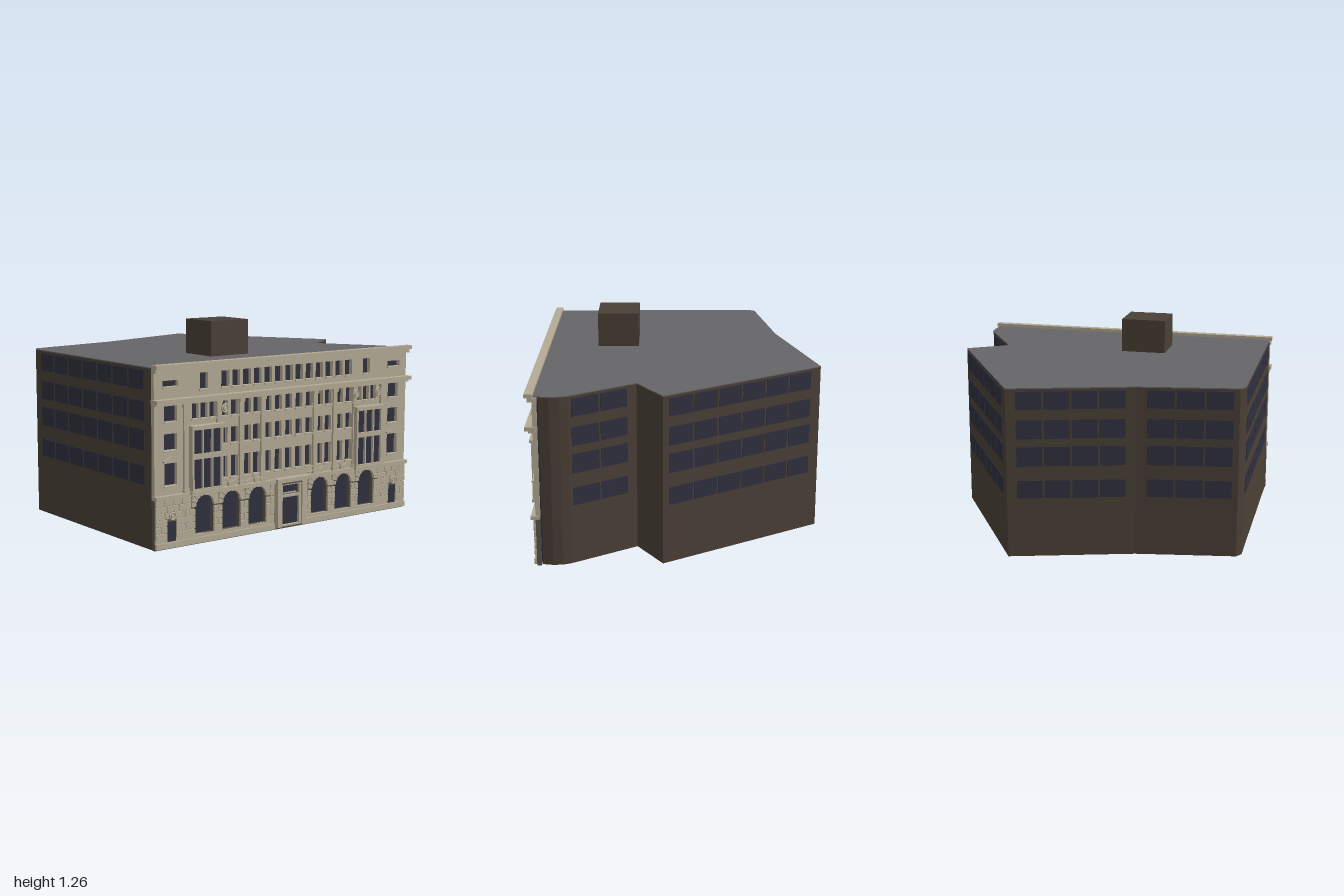
import * as THREE from 'three';

const material = (name, color) => {
  const m = new THREE.MeshStandardMaterial({ color });
  m.name = name;
  return m;
};

export function createModel() {
  const stone = material('stone', 0xb4ab95);
  const mortar = material('mortar', 0x5a5448);
  const brown = material('brown wall', 0x4a4036);
  const grey = material('roof grey', 0x656567);
  const glass = material('window glass', 0x2f303e);

  const model = new THREE.Group();
  model.name = 'building';

  const add = (parent, name, geometry, mat, x = 0, y = 0, z = 0) => {
    const mesh = new THREE.Mesh(geometry, mat);
    mesh.name = name;
    mesh.position.set(x, y, z);
    parent.add(mesh);
    return mesh;
  };
  const polygon = (pts) => new THREE.Shape(pts.map(([x, y]) => new THREE.Vector2(x, y)));
  const rect = (x0, x1, y0, y1) => polygon([[x0, y0], [x1, y0], [x1, y1], [x0, y1]]);
  const extrude = (shape, depth) =>
    new THREE.ExtrudeGeometry(shape, { depth, bevelEnabled: false, curveSegments: 16 });
  // Horizontal slab with a floor plan given as x, z points
  const slab = (pts, height) =>
    extrude(polygon(pts.map(([x, z]) => [x, -z])), height).rotateX(-Math.PI / 2);

  // Main body on its irregular plan
  const plan = [
    [-0.98, 0.69], [-0.91, -0.63], [-0.88, -0.67], [-0.27, -0.73], [0.48, -0.9],
    [0.99, 0.1], [0.74, 0.24], [0.95, 0.64], [0.965, 0.69], [0.967, 0.75], [0.95, 0.843],
  ];
  const bodyPlan = plan.map(([x, z], i) =>
    [x, i === 0 || i === plan.length - 1 ? z - 0.03 : z]);
  add(model, 'body', slab(bodyPlan, 1.045), brown);
  add(model, 'roof', slab(plan, 0.006), grey, 0, 1.045, 0);

  // Rooftop plant room
  add(model, 'roofHut', new THREE.BoxGeometry(0.285, 0.22, 0.26), brown, -0.19, 1.155, 0.31)
    .rotation.y = -0.07;

  // Strips of panes on the side and rear walls
  const floors = [[0.37, 0.48], [0.57, 0.69], [0.74, 0.855], [0.92, 1.03]];
  const paneStrip = (a, b, from, to, count) => {
    const dx = b[0] - a[0], dz = b[1] - a[1], len = Math.hypot(dx, dz);
    const pitch = (to - from) / count;
    for (const [y0, y1] of floors) {
      for (let i = 0; i < count; i++) {
        const t = from + (i + 0.5) * pitch;
        const pane = add(model, 'sideWindow',
          new THREE.BoxGeometry(pitch * len - 0.012, y1 - y0, 0.006), glass,
          a[0] + dx * t + (dz / len) * 0.001, (y0 + y1) / 2, a[1] + dz * t - (dx / len) * 0.001);
        pane.rotation.y = Math.atan2(-dz, dx);
      }
    }
  };
  paneStrip(plan[0], plan[1], 0.07, 0.95, 7);
  paneStrip(plan[2], plan[3], 0.05, 0.9, 3);
  paneStrip(plan[3], plan[4], 0.07, 0.93, 4);
  paneStrip(plan[4], plan[5], 0.06, 0.965, 6);
  paneStrip(plan[6], plan[7], 0.13, 0.97, 2);

  // Street facade, slightly turned; z = 0 is its wall plane
  const facade = new THREE.Group();
  facade.name = 'facade';
  facade.position.set(-0.01, 0, 0.769);
  facade.rotation.y = -0.0788;
  model.add(facade);
  const HALF = 0.978;
  const box = (name, x0, x1, y0, y1, z0, z1, mat = stone) =>
    add(facade, name, new THREE.BoxGeometry(x1 - x0, y1 - y0, z1 - z0), mat,
      (x0 + x1) / 2, (y0 + y1) / 2, (z0 + z1) / 2);
  const mirrored = (list) => list.flatMap((x) => (x ? [-x, x] : [0]));

  // Upper wall with window openings
  const upper = rect(-HALF, HALF, 0.295, 1.044);
  const opening = (x, half, y0, y1) => {
    upper.holes.push(rect(x - half, x + half, y0, y1));
    box('windowSill', x - half - 0.005, x + half + 0.005, y0 - 0.01, y0, 0, 0.01);
  };
  const storeys = [[0.37, 0.5], [0.575, 0.67], [0.74, 0.83]];
  for (const [y0, y1] of storeys) {
    for (const x of mirrored([0, 0.08, 0.16, 0.246, 0.316, 0.412, 0.487])) opening(x, 0.026, y0, y1);
    for (const x of mirrored([0.866])) opening(x, 0.044, y0, y1);
  }
  for (const x of mirrored([0.57, 0.632, 0.694])) opening(x, 0.024, 0.74, 0.83);
  for (const x of mirrored([0, 0.08, 0.16, 0.24, 0.32, 0.4, 0.48, 0.632])) opening(x, 0.029, 0.91, 1.005);
  for (const x of mirrored([0.866])) opening(x, 0.053, 0.94, 0.975);
  add(facade, 'upperWall', extrude(upper, 0.028), stone, 0, 0, -0.028);
  box('facadeGlass', -HALF + 0.01, HALF - 0.01, 0.02, 1.04, -0.036, -0.026, glass);

  // Ground floor wall with arches and small windows
  const arches = mirrored([0.245, 0.44, 0.635]);
  const R = 0.066, SPRING = 0.225;
  const ground = rect(-HALF, HALF, 0, 0.295);
  for (const x of arches) {
    const hole = new THREE.Path();
    hole.moveTo(x - R, 0.06);
    hole.lineTo(x + R, 0.06);
    hole.lineTo(x + R, SPRING);
    hole.absarc(x, SPRING, R, 0, Math.PI, false);
    hole.lineTo(x - R, 0.06);
    ground.holes.push(hole);
  }
  for (const x of mirrored([0.866])) ground.holes.push(rect(x - 0.03, x + 0.03, 0.045, 0.16));
  add(facade, 'groundWall', extrude(ground, 0.028), mortar, 0, 0, -0.028);

  // Rusticated blocks, filling the spaces between openings row by row
  const rowHeight = 0.0392;
  for (let row = 0; row < 6; row++) {
    const y0 = 0.06 + row * rowHeight, y1 = y0 + rowHeight, mid = (y0 + y1) / 2;
    const blocked = [[-0.115, 0.115], ...arches.map((x) => {
      const half = mid > 0.21 ? 0.098 : R + 0.001;
      return [x - half, x + half];
    })];
    if (mid < 0.17) for (const x of mirrored([0.866])) blocked.push([x - 0.031, x + 0.031]);
    blocked.sort((a, b) => a[0] - b[0]);
    blocked.push([HALF, HALF]);
    let start = -HALF;
    for (const [stop, next] of blocked) {
      const width = stop - start;
      if (width > 0.015) {
        const count = Math.max(1, Math.round(width / 0.09) + (row % 2));
        const step = width / count;
        for (let i = 0; i < count; i++) {
          box('stoneBlock', start + i * step + 0.002, start + (i + 1) * step - 0.002,
            y0 + 0.002, y1 - 0.003, -0.004, 0.013);
        }
      }
      start = next;
    }
  }

  // Wedge stones around each arch
  const wedges = 9;
  for (const x of arches) {
    for (let i = 0; i < wedges; i++) {
      const a0 = (i / wedges) * Math.PI + 0.02, a1 = ((i + 1) / wedges) * Math.PI - 0.02;
      const outer = (a) => Math.min(0.112, 0.0965 / Math.abs(Math.cos(a)), 0.071 / Math.sin(a));
      const at = (r, a) => [r * Math.cos(a), r * Math.sin(a)];
      const wedge = polygon([at(R, a0), at(outer(a0), a0), at(outer(a1), a1), at(R, a1)]);
      add(facade, 'archStone', extrude(wedge, i === 4 ? 0.03 : 0.02), stone, x, SPRING, -0.003);
    }
  }
  // Carved crests over the inner arches
  for (const x of mirrored([0.245, 0.44])) {
    add(facade, 'archCrest', extrude(polygon([[-0.02, 0], [0.02, 0], [0.03, 0.035], [0, 0.025], [-0.03, 0.035]]), 0.015),
      stone, x, 0.318, 0);
    for (const s of [-1, 1]) {
      add(facade, 'crestScroll', new THREE.BoxGeometry(0.06, 0.008, 0.014), stone, x + s * 0.06, 0.335, 0.007)
        .rotation.z = -s * 0.3;
    }
  }

  // Plinth, string course and cornices
  for (const s of [-1, 1]) {
    const ends = [s * 0.11, s * HALF].sort((a, b) => a - b);
    box('plinth', ends[0], ends[1], 0.008, 0.042, -0.01, 0.017);
    box('plinthTop', ends[0], ends[1], 0.042, 0.06, -0.01, 0.006)
      .visible = true;
  }
  for (const x of mirrored([0.866])) box('lowWindowPane', x - 0.03, x + 0.03, 0.045, 0.16, 0, 0.009, glass);
  box('stringCourse', -HALF - 0.005, HALF + 0.005, 0.295, 0.318, -0.02, 0.028);
  box('mainCornice', -0.988, 0.988, 0.848, 0.872, -0.02, 0.045);
  box('mainCorniceBed', -0.982, 0.982, 0.835, 0.848, -0.02, 0.025);
  box('topCorniceBed', -0.982, 0.982, 1.022, 1.046, -0.02, 0.026);
  box('topCornice', -0.988, 0.988, 1.046, 1.07, -0.005, 0.043);

  // Pilasters between the window groups
  for (const x of mirrored([0.205, 0.365, 0.53, 0.765])) {
    box('pilaster', x - 0.016, x + 0.016, 0.318, 0.835, 0, 0.014);
    box('pilasterCap', x - 0.02, x + 0.02, 0.815, 0.835, 0, 0.02);
    box('pilasterBase', x - 0.02, x + 0.02, 0.318, 0.34, 0, 0.02);
  }

  // Projecting bay windows
  for (const x of mirrored([0.632])) {
    const bay = rect(-0.11, 0.11, 0.318, 0.69);
    for (const c of [-0.067, 0, 0.067]) {
      bay.holes.push(rect(c - 0.029, c + 0.029, 0.335, 0.51));
      bay.holes.push(rect(c - 0.029, c + 0.029, 0.54, 0.68));
    }
    add(facade, 'bayFrame', extrude(bay, 0.042), stone, x, 0, 0);
    box('bayGlass', x - 0.105, x + 0.105, 0.325, 0.685, 0.018, 0.026, glass);
    box('bayCornice', x - 0.117, x + 0.117, 0.69, 0.706, 0, 0.052);
    box('bayBase', x - 0.115, x + 0.115, 0.305, 0.325, 0, 0.047);
  }

  // Pediments over the first-floor end windows
  for (const x of mirrored([0.866])) {
    add(facade, 'pediment', extrude(polygon([[-0.055, 0], [0.055, 0], [0, 0.028]]), 0.018), stone, x, 0.515, 0);
    box('pedimentLedge', x - 0.058, x + 0.058, 0.508, 0.516, 0, 0.022);
  }

  // Round carved medallions
  const medallion = (x, y, r, z) => {
    add(facade, 'medallionRing', new THREE.TorusGeometry(r, 0.006, 6, 16), stone, x, y, z);
    add(facade, 'medallionBoss', new THREE.CylinderGeometry(r * 0.6, r * 0.8, 0.014, 12).rotateX(Math.PI / 2),
      stone, x, y, z);
  };
  for (const x of [-0.495, 0.53, 0.718]) medallion(x, 0.788, 0.023, 0.02);
  for (const x of mirrored([0.866])) medallion(x, 0.195, 0.02, 0.02);

  // Entrance surround and door
  const surround = rect(-0.09, 0.09, 0.02, 0.295);
  surround.holes.push(rect(-0.065, 0.065, 0.03, 0.2), rect(-0.065, 0.065, 0.215, 0.275));
  add(facade, 'doorSurround', extrude(surround, 0.03), stone);
  box('doorGlass', -0.075, 0.075, 0.025, 0.285, 0.005, 0.013, glass);
  for (const s of [-1, 1]) {
    box('doorPier', s * 0.096 - 0.016, s * 0.096 + 0.016, 0.02, 0.295, 0, 0.042);
  }
  box('doorHood', -0.118, 0.118, 0.295, 0.32, 0, 0.05);
  box('transomPanel', -0.05, 0.05, 0.22, 0.228, 0.01, 0.02);
  box('doorLintel', -0.08, 0.08, 0.282, 0.295, 0.02, 0.036, mortar);

  return model;
}
